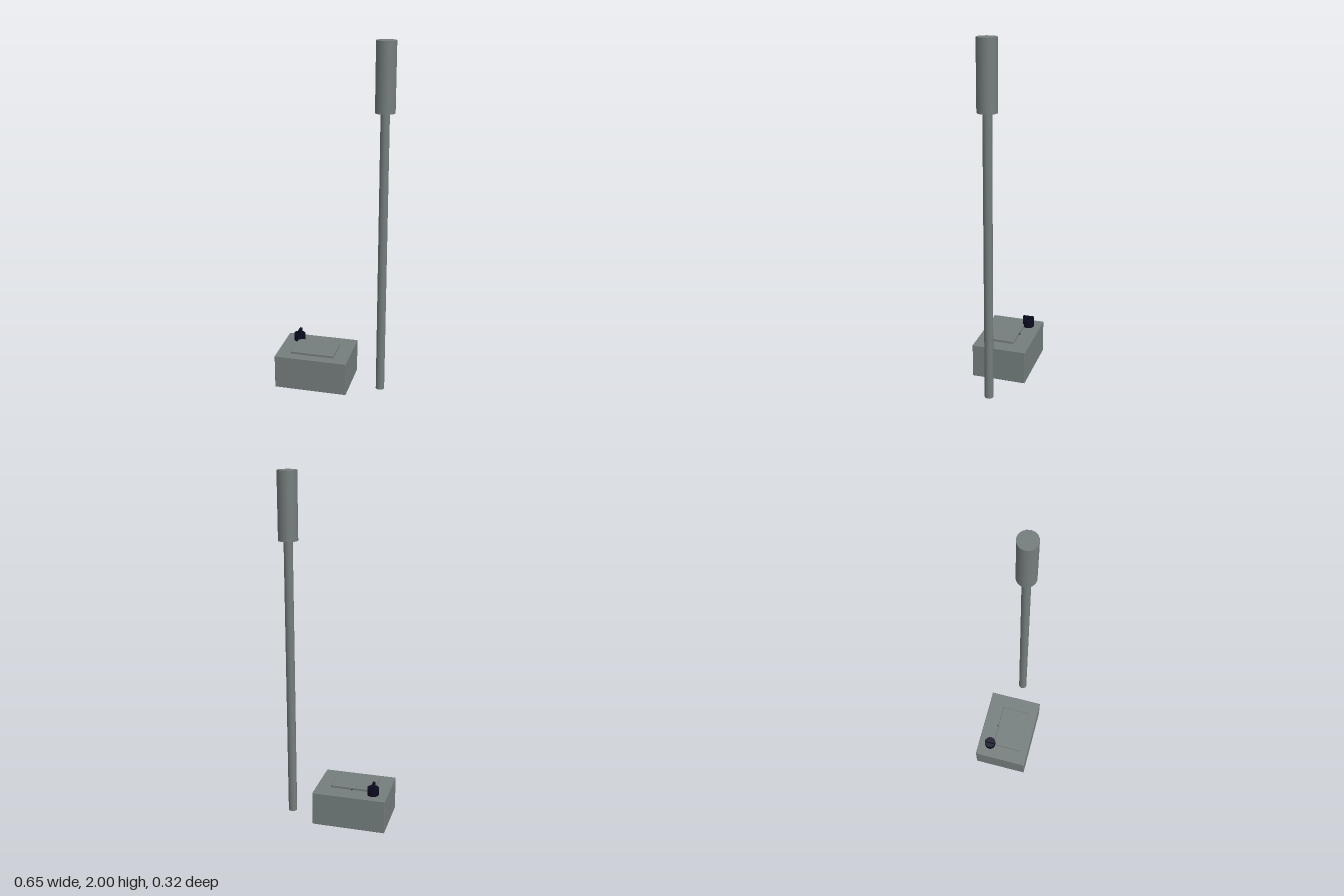
import * as THREE from 'three';
import { RoundedBoxGeometry } from 'three/addons/geometries/RoundedBoxGeometry.js';

const grey = new THREE.MeshStandardMaterial({ color: 0x757d7d });
grey.name = 'warm grey';
const navy = new THREE.MeshStandardMaterial({ color: 0x0a0a20 });
navy.name = 'dark navy';

export function createModel() {
  const model = new THREE.Group();

  function add(name, geometry, material, x, y, z, parent = model) {
    const mesh = new THREE.Mesh(geometry, material);
    mesh.name = name;
    mesh.position.set(x, y, z);
    parent.add(mesh);
    return mesh;
  }

  // Box given by its bounds, with softly rounded edges
  function block(name, x0, x1, y0, y1, z0, z1, radius) {
    const geometry = new RoundedBoxGeometry(x1 - x0, y1 - y0, z1 - z0, 2, radius);
    return add(name, geometry, grey, (x0 + x1) / 2, (y0 + y1) / 2, (z0 + z1) / 2);
  }

  // Control unit and its raised panel
  block('housing', -0.324, 0.098, 0.014, 0.212, -0.159, 0.157, 0.003);
  block('raisedPanel', -0.24, 0.013, 0.2, 0.228, -0.065, 0.104, 0.004);

  // Small marker behind the panel
  add('marker', new THREE.BoxGeometry(0.003, 0.008, 0.007), navy, -0.113, 0.215, -0.068);

  // Dial: round base with an upright grip across it
  const dial = new THREE.Group();
  dial.name = 'dial';
  dial.position.set(-0.241, 0.212, -0.086);
  model.add(dial);
  add('dialBase', new THREE.CylinderGeometry(0.033, 0.033, 0.042, 20), navy, 0, 0.021, 0, dial);
  add('dialGrip', new THREE.BoxGeometry(0.015, 0.024, 0.064), navy, 0, 0.052, 0, dial);

  // Free-standing wand: slim rod with a thicker head
  add('rod', new THREE.CylinderGeometry(0.025, 0.025, 1.63, 16), grey, 0.269, 0.815, 0);
  add('wandHead', new THREE.CylinderGeometry(0.055, 0.055, 0.375, 16), grey, 0.269, 1.8125, 0);

  return model;
}
